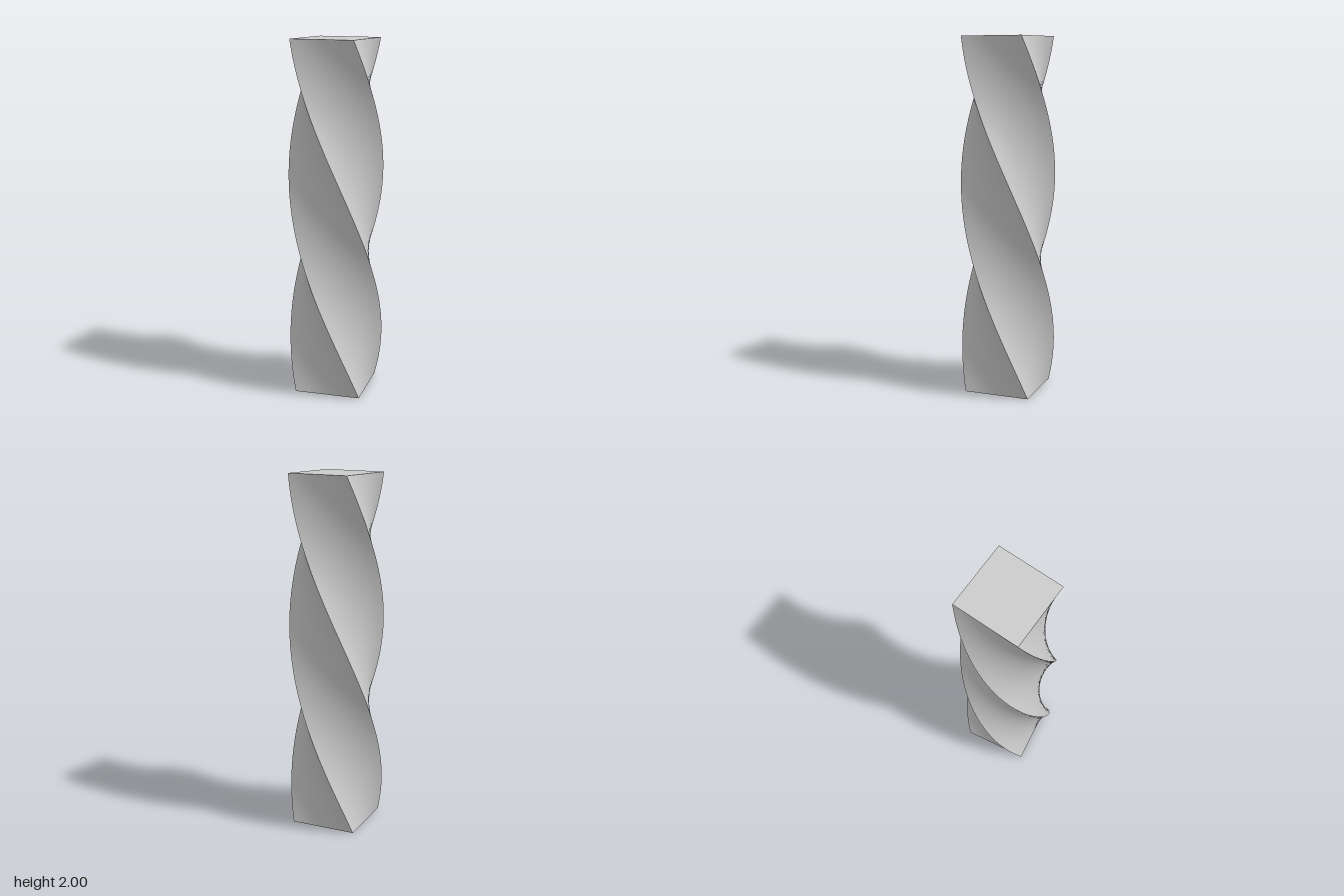
import * as THREE from 'three';

const HEIGHT = 2;
const SIDE = 0.374;
const TWIST = THREE.MathUtils.degToRad(189); // total turn from bottom to top

// Square bar whose cross-section turns evenly with height
function twistedBar() {
  const geometry = new THREE.BoxGeometry(SIDE, HEIGHT, SIDE, 10, 128, 10);
  geometry.translate(0, HEIGHT / 2, 0);
  const pos = geometry.attributes.position;
  for (let i = 0; i < pos.count; i++) {
    const x = pos.getX(i), y = pos.getY(i), z = pos.getZ(i);
    const a = TWIST * y / HEIGHT;
    const c = Math.cos(a), s = Math.sin(a);
    pos.setXYZ(i, x * c - z * s, y, x * s + z * c);
  }
  // Box sides share no vertices, so the four spiral edges stay sharp
  geometry.computeVertexNormals();
  return geometry;
}

export function createModel() {
  const group = new THREE.Group();
  group.name = 'twistedColumn';
  const bar = new THREE.Mesh(twistedBar(), new THREE.MeshStandardMaterial({ color: 0xcccccc }));
  bar.name = 'twistedBar';
  group.add(bar);
  return group;
}
